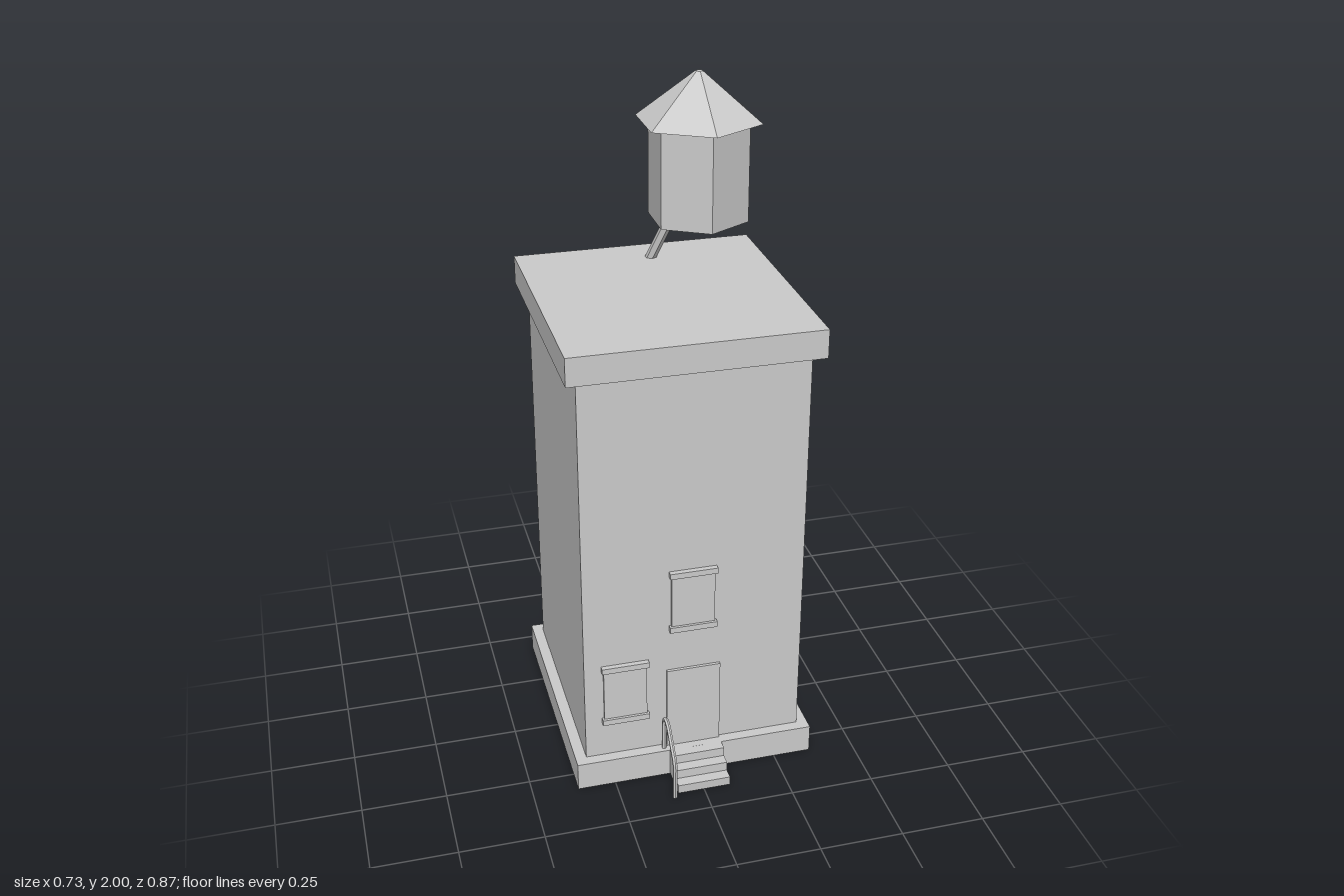
import * as THREE from 'three';

const material = new THREE.MeshStandardMaterial({ color: 0xcccccc, flatShading: true });

export function createModel() {
  const model = new THREE.Group();
  model.name = 'tower';

  const add = (name, geometry, parent = model) => {
    const mesh = new THREE.Mesh(geometry, material);
    mesh.name = name;
    parent.add(mesh);
    return mesh;
  };
  // Box given by its minimum and maximum on each axis
  const box = (name, [x0, x1], [y0, y1], [z0, z1], parent) =>
    add(name, new THREE.BoxGeometry(x1 - x0, y1 - y0, z1 - z0), parent)
      .position.set((x0 + x1) / 2, (y0 + y1) / 2, (z0 + z1) / 2);

  // Main block with matching base and roof slabs
  const wall = 0.287;
  box('base', [-0.364, 0.364], [0, 0.088], [-0.438, 0.32]);
  box('walls', [-0.331, 0.331], [0.088, 1.333], [-0.403, wall]);
  box('roofSlab', [-0.364, 0.364], [1.333, 1.418], [-0.438, 0.32]);

  // Door and the two windows, each with lintel and sill
  box('door', [-0.083, 0.08], [0.088, 0.36], [wall - 0.01, 0.296]);
  for (const [name, x, y] of [['lowerWindow', -0.209, 0.205], ['upperWindow', -0.004, 0.498]]) {
    const window = new THREE.Group();
    window.name = name;
    window.position.set(x, y, 0);
    model.add(window);
    box('pane', [-0.065, 0.065], [0.018, 0.186], [wall - 0.01, 0.295], window);
    box('lintel', [-0.071, 0.071], [0.184, 0.202], [wall - 0.01, 0.303], window);
    box('sill', [-0.071, 0.071], [0, 0.018], [wall - 0.01, 0.303], window);
  }

  // Front steps as one extruded stair profile (shape x = depth)
  const profile = new THREE.Shape();
  profile.moveTo(0.31, 0);
  profile.lineTo(0.415, 0);
  for (let i = 1; i <= 3; i++) {
    profile.lineTo(0.45 - i * 0.0333, i * 0.0293);
    profile.lineTo(i < 3 ? 0.45 - (i + 1) * 0.0333 : 0.31, i * 0.0293);
  }
  const steps = new THREE.ExtrudeGeometry(profile, { depth: 0.16, bevelEnabled: false });
  steps.rotateY(-Math.PI / 2);
  add('steps', steps).position.x = 0.08;

  // Bent handrail beside the steps
  const rail = new THREE.CurvePath();
  const p = (z, y) => new THREE.Vector3(-0.094, y, z);
  rail.add(new THREE.LineCurve3(p(0.429, 0), p(0.429, 0.108)));
  rail.add(new THREE.QuadraticBezierCurve3(p(0.429, 0.108), p(0.429, 0.125), p(0.417, 0.138)));
  rail.add(new THREE.LineCurve3(p(0.417, 0.138), p(0.36, 0.195)));
  rail.add(new THREE.CubicBezierCurve3(p(0.36, 0.195), p(0.335, 0.217), p(0.302, 0.21), p(0.302, 0.172)));
  rail.add(new THREE.LineCurve3(p(0.302, 0.172), p(0.302, 0.085)));
  add('handrail', new THREE.TubeGeometry(rail, 40, 0.007, 6, false));

  // Six-sided water tank with a conical roof
  const tank = new THREE.Group();
  tank.name = 'waterTank';
  tank.position.set(0.145, 0, -0.217);
  model.add(tank);
  add('tankBody', new THREE.CylinderGeometry(0.15, 0.15, 0.292, 6), tank).position.y = 1.717;
  add('tankRoof', new THREE.CylinderGeometry(0.011, 0.187, 0.139, 6), tank).position.y = 1.931 - 0.0005;

  // Single slanted leg under the tank
  const foot = new THREE.Vector3(0.028, 1.41, -0.332);
  const top = new THREE.Vector3(0.087, 1.575, -0.275);
  const axis = top.clone().sub(foot);
  const leg = add('tankLeg', new THREE.CylinderGeometry(0.016, 0.016, axis.length(), 6));
  leg.position.copy(foot).add(top).multiplyScalar(0.5);
  leg.quaternion.setFromUnitVectors(new THREE.Vector3(0, 1, 0), axis.normalize());

  return model;
}
